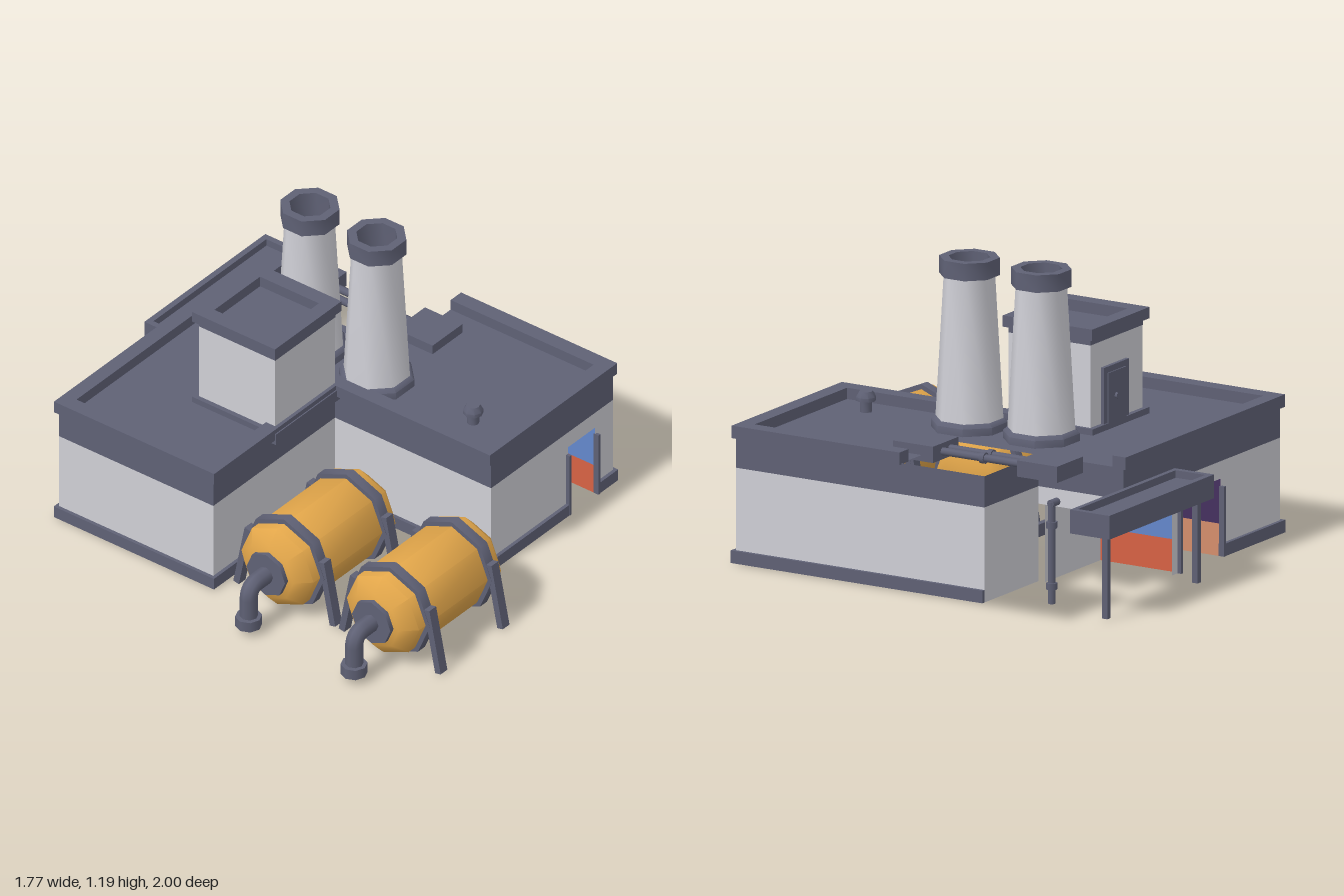
import * as THREE from 'three';
import { toCreasedNormals } from 'three/addons/utils/BufferGeometryUtils.js';

const material = (name, color, side = THREE.FrontSide) => {
  const m = new THREE.MeshStandardMaterial({ color, side });
  m.name = name;
  return m;
};

export function createModel() {
  const model = new THREE.Group();
  model.name = 'factory';
  const slate = material('slate', 0x5f6175);
  const wallGrey = material('wall grey', 0xcfcfd6);
  const amber = material('amber', 0xe2a64a);
  const blue = material('blue', 0x6488cc, THREE.DoubleSide);
  const red = material('red', 0xd86244, THREE.DoubleSide);
  const salmon = material('salmon', 0xd58e6c);
  const purple = material('purple', 0x453060);

  const add = (name, geo, mat, parent = model) => {
    const mesh = new THREE.Mesh(geo, mat);
    mesh.name = name;
    parent.add(mesh);
    return mesh;
  };
  // Box from its extents
  const box = (name, mat, x0, x1, y0, y1, z0, z1, parent) => {
    const m = add(name, new THREE.BoxGeometry(x1 - x0, y1 - y0, z1 - z0), mat, parent);
    m.position.set((x0 + x1) / 2, (y0 + y1) / 2, (z0 + z1) / 2);
    return m;
  };
  const quad = (name, mat, a, b, c, d) => {
    const g = new THREE.BufferGeometry();
    g.setAttribute('position', new THREE.Float32BufferAttribute([...a, ...b, ...c, ...d], 3));
    g.setIndex([0, 1, 2, 0, 2, 3]);
    g.computeVertexNormals();
    return add(name, g, mat);
  };
  // Upright sheet that faces right of its travel direction, seen from above
  const sheet = (name, mat, x0, z0, x1, z1, y0, y1) =>
    quad(name, mat, [x0, y0, z0], [x1, y0, z1], [x1, y1, z1], [x0, y1, z0]);
  const flatUp = (name, mat, x0, x1, z0, z1, y) =>
    quad(name, mat, [x0, y, z1], [x1, y, z1], [x1, y, z0], [x0, y, z0]);
  const flatDown = (name, mat, x0, x1, z0, z1, y) =>
    quad(name, mat, [x0, y, z0], [x1, y, z0], [x1, y, z1], [x0, y, z1]);
  const turned = (name, mat, pts, sides, start = 0, crease = 0.8, parent = model) => {
    const g = new THREE.LatheGeometry(pts.map(p => new THREE.Vector2(...p)), sides, start);
    return add(name, toCreasedNormals(g, crease), mat, parent);
  };
  const rod = (name, mat, a, b, r, sides = 8, parent = model) => {
    const p = new THREE.Vector3(...a), q = new THREE.Vector3(...b);
    const m = add(name, new THREE.CylinderGeometry(r, r, p.distanceTo(q), sides), mat, parent);
    m.position.copy(p).add(q).multiplyScalar(0.5);
    m.quaternion.setFromUnitVectors(new THREE.Vector3(0, 1, 0), q.sub(p).normalize());
    return m;
  };

  // Walls: light below, slate band above; the start height clears openings
  const H = 0.31;
  const walls = [
    [-0.69, -0.06, 0.07, -0.06, 0], [0.07, -0.06, 0.07, 0.71, 0],
    [0.07, 0.71, 0.55, 0.71, 0], [0.55, 0.71, 0.72, 0.71, H], [0.72, 0.71, 0.83, 0.71, 0],
    [0.83, 0.71, 0.83, -0.43, 0], [0.83, -0.43, 0.44, -0.43, 0],
    [0.44, -0.43, 0.44, -0.82, H], [0.44, -0.82, 0.09, -0.82, H], [0.09, -0.82, 0.04, -0.82, 0],
    [0.04, -0.82, -0.26, -0.82, H], [-0.26, -0.82, -0.69, -0.82, 0], [-0.69, -0.82, -0.69, -0.06, 0],
  ];
  for (const [x0, z0, x1, z1, y] of walls) {
    sheet('wall', wallGrey, x0, z0, x1, z1, y, 0.38);
    sheet('wallBand', slate, x0, z0, x1, z1, 0.38, 0.505);
  }
  sheet('loadingBayWall', wallGrey, 0.44, -0.46, 0.04, -0.46, 0, H);

  // Plinth strips
  for (const [x0, x1, z0, z1] of [
    [-0.705, 0.07, -0.07, -0.045], [0.055, 0.08, -0.045, 0.725], [0.055, 0.55, 0.7, 0.725],
    [0.72, 0.845, 0.7, 0.725], [0.82, 0.845, -0.43, 0.725],
    [-0.705, -0.26, -0.835, -0.81], [-0.705, -0.68, -0.835, -0.045],
  ]) box('plinth', slate, x0, x1, 0, 0.05, z0, z1);

  // Parapet lip
  for (const [x0, x1, z0, z1] of [
    [-0.71, 0.44, -0.83, -0.77], [-0.71, -0.645, -0.83, -0.04], [-0.71, 0.115, -0.1, -0.04],
    [0.05, 0.115, -0.1, 0.72], [0.05, 0.845, 0.655, 0.72], [0.78, 0.845, -0.05, 0.72],
  ]) box('parapet', slate, x0, x1, 0.5, 0.55, z0, z1);

  // Roofs, floors and undersides
  flatUp('backRoof', slate, -0.7, 0.44, -0.82, -0.05, 0.505);
  flatUp('frontRoof', slate, 0.06, 0.83, -0.05, 0.71, 0.505);
  flatUp('yardFloor', slate, 0.44, 0.845, -0.43, -0.05, 0.01);
  for (const [x0, x1, z0, z1] of [
    [-0.705, -0.26, -0.83, -0.05], [-0.26, 0.44, -0.46, -0.05], [0.055, 0.55, -0.05, 0.72],
    [0.55, 0.72, -0.05, 0.35], [0.72, 0.845, -0.05, 0.72], [0.44, 0.845, -0.43, -0.05],
  ]) flatDown('underside', slate, x0, x1, z0, z1, 0);
  flatDown('yardUnderside', wallGrey, 0.44, 0.845, -0.83, -0.43, 0);
  flatDown('bayCeiling', slate, -0.26, 0.44, -0.82, -0.46, H);
  flatDown('entryCeiling', slate, 0.55, 0.72, 0.35, 0.71, H);

  // Doorway linings, two colours on each side
  const lining = (x0, x1, z0, z1) => [[0, 0.13, salmon, red, wallGrey], [0.13, H, purple, blue, salmon]]
    .forEach(([y0, y1, rightward, leftward, back]) => {
      sheet('doorwaySide', rightward, x0, z1, x0, z0, y0, y1);
      sheet('doorwaySide', leftward, x1, z0, x1, z1, y0, y1);
      if (z1 > 0) sheet('doorwayBack', back, x0, z0, x1, z0, y0, y1);
      else sheet('doorwayBack', back, x1, z1, x0, z1, y0, y1);
    });
  lining(0.55, 0.72, 0.35, 0.71);
  lining(-0.26, 0.04, -0.82, -0.46);
  for (const [x, z] of [[0.545, 0.715], [0.725, 0.715], [-0.265, -0.825], [0.045, -0.825]])
    box('doorFrame', slate, x - 0.006, x + 0.006, 0, 0.28, z - 0.012, z + 0.012);

  // Stair tower
  box('towerBase', slate, -0.33, 0.08, 0.48, 0.53, -0.45, -0.035);
  box('towerBody', wallGrey, -0.31, 0.065, 0.5, 0.86, -0.43, -0.055);
  box('towerBand', slate, -0.311, 0.066, 0.86, 0.885, -0.431, -0.054);
  const rim = new THREE.Shape([[-0.33, 0.04], [0.085, 0.04], [0.085, 0.45], [-0.33, 0.45]].map(p => new THREE.Vector2(...p)));
  rim.holes.push(new THREE.Path([[-0.265, 0.1], [-0.265, 0.39], [0.02, 0.39], [0.02, 0.1]].map(p => new THREE.Vector2(...p))));
  const cap = add('towerCap', new THREE.ExtrudeGeometry(rim, { depth: 0.045, bevelEnabled: false }), slate);
  cap.rotation.x = -Math.PI / 2;
  cap.position.y = 0.885;
  box('towerDoorFrame', slate, -0.19, -0.01, 0.52, 0.755, -0.445, -0.43);
  box('towerDoor', slate, -0.165, -0.035, 0.53, 0.73, -0.45, -0.43);
  rod('doorKnob', slate, [-0.09, 0.63, -0.45], [-0.09, 0.63, -0.46], 0.012);

  // Chimneys
  const k = 1 / Math.cos(Math.PI / 8);
  for (const z of [-0.31, 0.02]) {
    const chimney = new THREE.Group();
    chimney.name = 'chimney';
    chimney.position.set(0.23, 0, z);
    model.add(chimney);
    const ring = (name, mat, pts) => turned(name, mat, pts.map(([r, y]) => [r * k, y]), 8, Math.PI / 8, 0.8, chimney);
    ring('chimneyBase', slate, [[0.14, 0.5], [0.14, 0.535], [0.125, 0.55], [0.11, 0.55]]);
    ring('chimneyStack', wallGrey, [[0.124, 0.54], [0.093, 1.13]]);
    ring('chimneyCap', slate, [[0.09, 1.12], [0.11, 1.12], [0.11, 1.19], [0.076, 1.19], [0.072, 0.95], [0, 0.95]]);
  }

  // Roof vent
  turned('roofVent', slate, [[0.024, 0.5], [0.024, 0.55], [0.04, 0.55], [0.04, 0.565], [0.027, 0.588], [0, 0.588]], 8)
    .position.set(0.237, 0, 0.49);

  // Roof ducts
  for (const z of [-0.58, -0.01]) box('ductBox', slate, 0.5, 0.685, 0.48, 0.545, z - 0.092, z + 0.092);
  for (const x of [0.56, 0.615]) {
    rod('ductPipe', slate, [x, 0.512, -0.5], [x, 0.512, -0.09], 0.016);
    rod('ductCollar', slate, [x, 0.512, -0.3], [x, 0.512, -0.28], 0.023);
  }

  // Canopy with raised edge and posts
  box('canopy', slate, 0.07, 0.825, 0.33, 0.395, -1, -0.82);
  for (const [x0, x1, z0, z1] of [[0.07, 0.825, -1, -0.975], [0.07, 0.825, -0.84, -0.82],
    [0.07, 0.095, -1, -0.82], [0.8, 0.825, -1, -0.82]]) box('canopyEdge', slate, x0, x1, 0.39, 0.425, z0, z1);
  for (const x of [0.13, 0.78]) box('canopyPost', slate, x - 0.012, x + 0.012, 0, 0.34, -0.97, -0.945);

  // Drain pipe
  rod('drainPipe', slate, [0.863, 0.05, -0.76], [0.863, 0.455, -0.76], 0.015);
  rod('drainElbow', slate, [0.825, 0.45, -0.76], [0.873, 0.45, -0.76], 0.016);
  for (const y of [0.12, 0.365]) rod('drainCollar', slate, [0.863, y - 0.013, -0.76], [0.863, y + 0.013, -0.76], 0.022);

  // Storage tanks with straps, splayed legs and outlet pipes
  for (const z of [0.23, 0.75]) {
    const tank = new THREE.Group();
    tank.name = 'tank';
    tank.position.set(0, 0.202, z);
    model.add(tank);
    const onSide = (name, mat, pts, x) => {
      const m = turned(name, mat, pts, 8, 0, 0.8, tank);
      m.rotation.z = Math.PI / 2;
      m.position.x = x;
    };
    onSide('tankBody', amber, [[0, -0.31], [0.12, -0.31], [0.178, -0.256], [0.178, 0.256], [0.12, 0.31], [0, 0.31]], -0.4);
    for (const x of [-0.593, -0.205]) {
      onSide('tankStrap', slate, [[0.174, -0.022], [0.198, -0.022], [0.198, 0.022], [0.174, 0.022]], x);
      for (const s of [-1, 1]) {
        const leg = add('tankLeg', new THREE.BoxGeometry(0.042, 0.28, 0.028), slate, tank);
        leg.position.set(x, -0.065, s * 0.21);
        leg.rotation.x = -s * 0.2;
      }
    }
    onSide('tankFlange', slate, [[0, -0.015], [0.095, -0.015], [0.095, 0.015], [0, 0.015]], -0.715);
    const path = new THREE.CurvePath();
    const v = (x, y) => new THREE.Vector3(x, y, 0);
    path.add(new THREE.LineCurve3(v(-0.71, 0), v(-0.785, 0)));
    path.add(new THREE.QuadraticBezierCurve3(v(-0.785, 0), v(-0.835, 0), v(-0.835, -0.05)));
    path.add(new THREE.LineCurve3(v(-0.835, -0.05), v(-0.835, -0.15)));
    add('outletPipe', new THREE.TubeGeometry(path, 18, 0.036, 8), slate, tank);
    rod('outletFoot', slate, [-0.837, -0.177, 0], [-0.837, -0.133, 0], 0.053, 8, tank);
  }
  return model;
}
